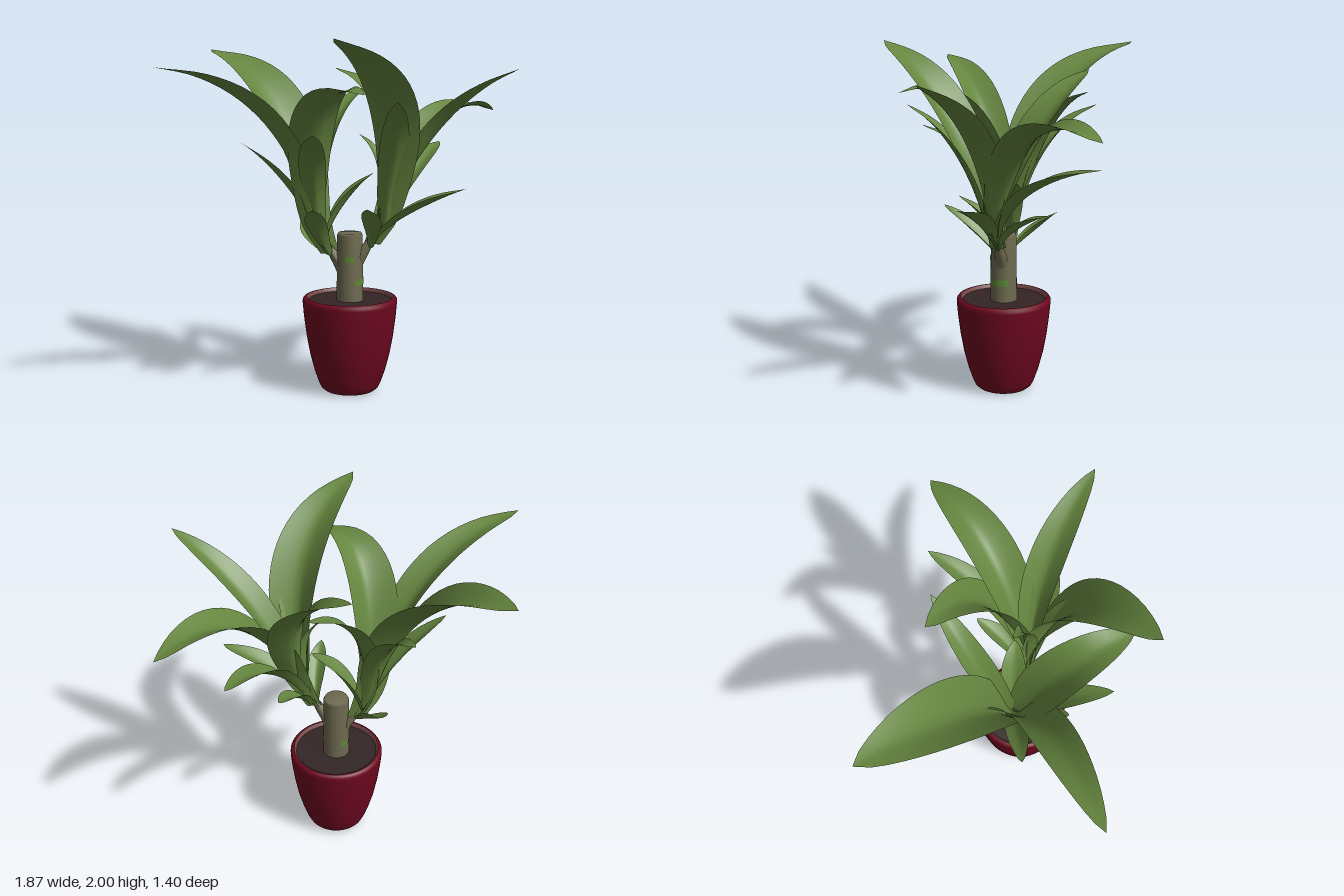
import * as THREE from 'three';

const mat = (name, color, side = THREE.FrontSide) => {
  const m = new THREE.MeshStandardMaterial({ color, side });
  m.name = name;
  return m;
};
const V = (a) => new THREE.Vector3(...a);

// Creased, cupped blade: rises from the crown root, then bends from base over control to tip
function leafGeometry(root, base, control, tip, halfWidth) {
  const rows = 24, cols = 8;
  const b = V(base), c = V(control), t = V(tip);
  const points = new THREE.QuadraticBezierCurve3(b, c, t).getPoints(6);
  if (b.y > 0.89) points.unshift(V(root));
  const spine = new THREE.CatmullRomCurve3(points);
  const bend = c.clone().sub(b).cross(t.clone().sub(b)).normalize();
  const side = new THREE.Vector3(t.z - b.z, 0, b.x - t.x).normalize().lerp(bend, 0.2).normalize();
  const pos = [], index = [];
  for (let i = 0; i <= rows; i++) {
    const s = i / rows;
    const p = spine.getPointAt(s);
    const upper = spine.getTangentAt(s).cross(side).normalize();
    const w = halfWidth * Math.pow(Math.max(0, Math.sin(Math.PI * (0.06 + 0.94 * Math.pow(s, 1.4)))), 0.72);
    const fold = (0.8 - 0.4 * s) * (1 - s ** 6);
    for (let j = 0; j <= cols; j++) {
      const u = (j / cols) * 2 - 1;
      const q = p.clone().addScaledVector(side, u * w)
        .addScaledVector(upper, (Math.pow(Math.abs(u), 1.3) - 0.35) * w * fold);
      pos.push(q.x, q.y, q.z);
      if (i < rows && j < cols) {
        const k = i * (cols + 1) + j, n = k + cols + 1;
        index.push(k, n, k + 1, k + 1, n, n + 1);
      }
    }
  }
  const g = new THREE.BufferGeometry();
  g.setAttribute('position', new THREE.Float32BufferAttribute(pos, 3));
  g.setIndex(index);
  g.computeVertexNormals();
  return g;
}

// Each leaf: base, control, tip, half width
const rightCrown = [
  [[-0.2, 1.0, 0], [-0.39, 1.85, -0.09], [-0.93, 1.96, -0.57], 0.18],
  [[-0.2, 0.98, 0.02], [-0.35, 1.8, 0.2], [-0.94, 1.86, 0.63], 0.11],
  [[-0.19, 0.95, 0.03], [-0.24, 1.88, 0.22], [0.14, 1.72, 0.57], 0.14],
  [[-0.17, 0.9, 0.03], [-0.22, 1.35, 0.1], [-0.13, 1.51, 0.53], 0.075],
  [[-0.18, 0.9, 0.01], [-0.32, 1.25, 0.05], [-0.59, 1.44, 0.15], 0.065],
  [[-0.19, 0.95, -0.02], [-0.25, 1.5, -0.12], [-0.46, 1.62, -0.44], 0.08],
  [[-0.18, 0.97, -0.02], [-0.22, 1.65, -0.17], [0.08, 1.75, -0.49], 0.075],
  [[-0.15, 0.87, -0.02], [-0.08, 1.12, -0.02], [0.13, 1.26, -0.06], 0.07],
  [[-0.11, 0.79, 0.02], [-0.19, 0.95, 0.1], [-0.17, 1.09, 0.32], 0.06],
  [[-0.12, 0.79, -0.01], [-0.26, 0.87, -0.06], [-0.28, 1.0, -0.25], 0.06],
];
const leftCrown = [
  [[0.2, 1.0, 0.02], [0.37, 1.8, 0.17], [0.0, 2.0, 0.7], 0.15],
  [[0.22, 1.05, 0], [0.45, 1.65, -0.02], [0.93, 1.85, 0.18], 0.1],
  [[0.21, 1.05, -0.02], [0.46, 1.8, -0.2], [0.81, 1.59, -0.7], 0.13],
  [[0.21, 1.05, -0.02], [0.32, 1.72, -0.28], [-0.14, 1.85, -0.45], 0.125],
  [[0.18, 0.95, -0.02], [0.35, 1.32, -0.15], [0.48, 1.4, -0.64], 0.075],
  [[0.2, 0.97, 0.03], [0.28, 1.5, 0.12], [0.3, 1.68, 0.46], 0.08],
  [[0.16, 0.95, 0], [0.23, 1.38, 0.01], [0.05, 1.48, -0.05], 0.055],
  [[0.13, 0.87, 0.01], [0.27, 1.07, 0.03], [0.66, 1.19, 0.06], 0.07],
  [[0.12, 0.84, 0.02], [0.15, 0.96, 0.1], [0.13, 1.1, 0.31], 0.055],
  [[0.14, 0.86, -0.01], [0.2, 1.03, -0.08], [0.27, 1.1, -0.32], 0.055],
];

export function createModel() {
  const model = new THREE.Group();
  model.name = 'pottedPlant';
  const red = mat('glazedRed', 0x6e071f, THREE.DoubleSide);
  const soilMat = mat('soilBrown', 0x342525);
  const bark = mat('barkTan', 0x6e6a50);
  const moss = mat('mossGreen', 0x5c8a34, THREE.DoubleSide);
  const green = mat('leafGreen', 0x65863f, THREE.DoubleSide);
  const rimMat = mat('rimBrown', 0x744646, THREE.DoubleSide);

  const add = (name, geometry, material, parent = model) => {
    const m = new THREE.Mesh(geometry, material);
    m.name = name;
    parent.add(m);
    return m;
  };
  const lathe = (pts, n = 48) => new THREE.LatheGeometry(pts.map((p) => new THREE.Vector2(...p)), n);

  // Pot with rounded foot and lip
  add('pot', lathe([[0.125, 0], [0.148, 0.004], [0.167, 0.02], [0.181, 0.05], [0.205, 0.12], [0.231, 0.22],
    [0.251, 0.33], [0.265, 0.44], [0.272, 0.52], [0.271, 0.537], [0.263, 0.548], [0.25, 0.551]]), red);
  add('potInnerRim', lathe([[0.25, 0.551], [0.24, 0.546], [0.234, 0.52]]), rimMat);
  add('potBase', new THREE.CircleGeometry(0.126, 40).rotateX(Math.PI / 2).translate(0, 0.001, 0), bark);
  add('soil', new THREE.CircleGeometry(0.237, 40).rotateX(-Math.PI / 2).translate(0, 0.53, 0), soilMat);

  // Cut trunk
  add('trunk', lathe([[0.077, 0.5], [0.075, 0.7], [0.073, 0.908], [0.066, 0.923], [0, 0.926]], 28), bark);

  // Moss patches: [height, size, start angle, arc]
  [[0.645, 0.036, 0.9, 1.3], [0.638, 0.026, 0.45, 0.5], [0.775, 0.03, -0.25, 0.7], [0.63, 0.03, 3.6, 0.9]]
    .forEach(([y, h, a, arc]) => {
      add('mossPatch', new THREE.CylinderGeometry(0.0785, 0.0785, h, 20, 1, true, a, arc).translate(0, y, 0), moss);
    });

  // Short side shoots hugging the trunk, each tapering outwards into its crown
  const shoot = (name, points, r0, r1) => {
    const curve = new THREE.CatmullRomCurve3(points.map(V));
    const g = new THREE.TubeGeometry(curve, 12, 1, 14);
    const p = g.attributes.position, q = new THREE.Vector3();
    for (let i = 0; i < p.count; i++) {
      const s = Math.floor(i / 15) / 12, o = curve.getPointAt(s);
      q.fromBufferAttribute(p, i).sub(o).multiplyScalar(r0 + (r1 - r0) * s).add(o);
      p.setXYZ(i, q.x, q.y, q.z);
    }
    g.computeVertexNormals();
    add(name, g, bark);
  };
  shoot('rightShoot', [[-0.02, 0.69, 0], [-0.06, 0.75, 0], [-0.09, 0.79, 0], [-0.12, 0.84, 0.005]], 0.05, 0.018);
  shoot('leftShoot', [[0.02, 0.73, 0], [0.06, 0.79, 0], [0.095, 0.84, 0], [0.125, 0.89, 0]], 0.05, 0.018);

  // Leaf crowns
  [['rightCrown', rightCrown, [-0.12, 0.8, 0]], ['leftCrown', leftCrown, [0.125, 0.86, 0]]]
    .forEach(([name, leaves, root]) => {
      const crown = new THREE.Group();
      crown.name = name;
      leaves.forEach((l) => add('leaf', leafGeometry(root, ...l), green, crown));
      model.add(crown);
    });
  return model;
}
